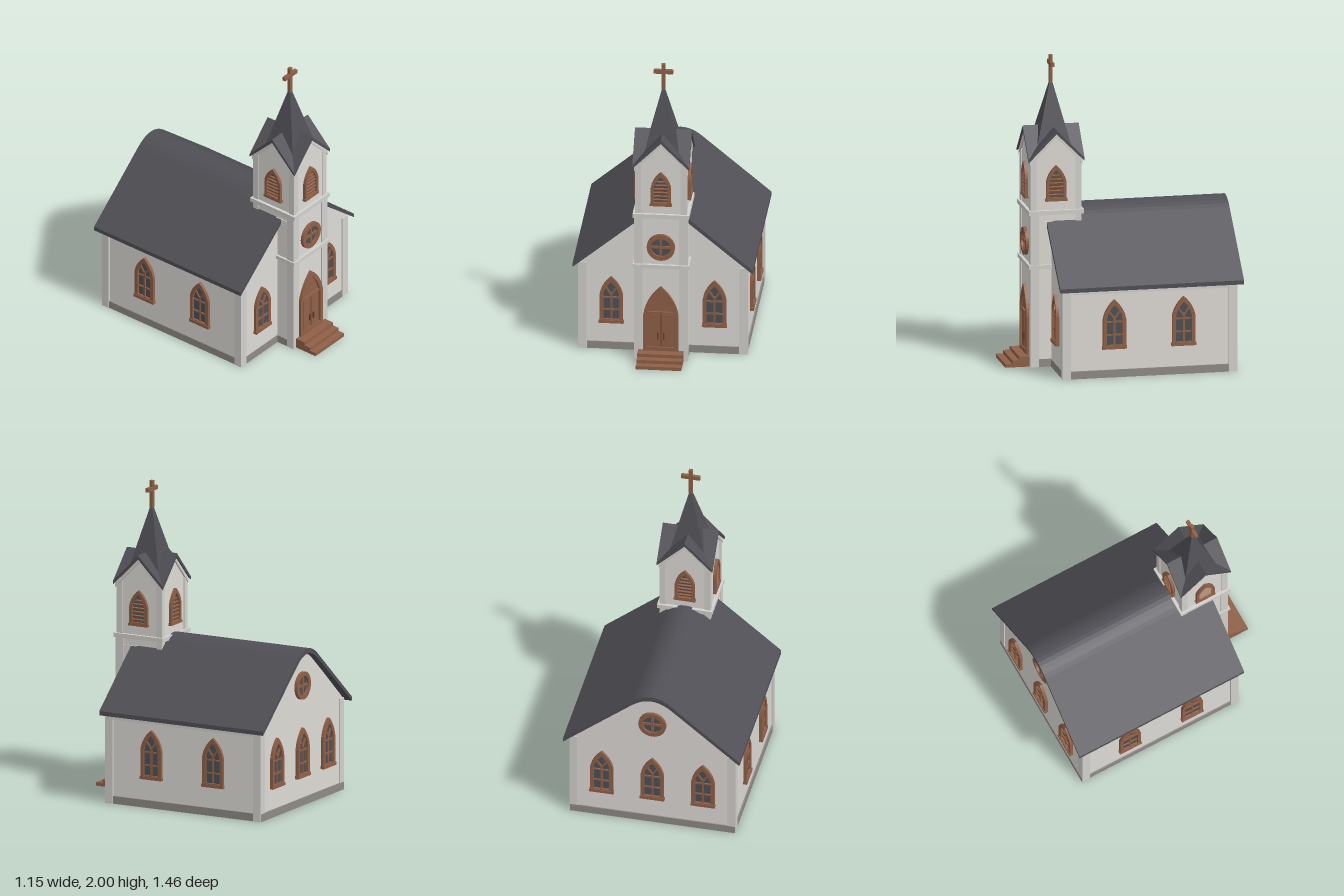
import * as THREE from 'three';

const mat = (name, color) => Object.assign(new THREE.MeshStandardMaterial({ color }), { name });

export function createModel() {
  const wall = mat('white siding', 0xdedbd6);
  const trim = mat('pale trim', 0xd3d1cd);
  const roof = mat('slate roof', 0x504f55);
  const wood = mat('brown wood', 0x8f6047);
  const darkWood = mat('dark wood', 0x5f3f2e);
  const glass = mat('dark glass', 0x4c5057);
  const stone = mat('grey foundation', 0x8f8a84);

  const church = new THREE.Group();
  church.name = 'church';

  // Helpers
  const add = (parent, name, geo, m, x = 0, y = 0, z = 0) => {
    const mesh = new THREE.Mesh(geo, m);
    mesh.name = name;
    mesh.position.set(x, y, z);
    parent.add(mesh);
    return mesh;
  };
  const box = (parent, name, m, w, h, d, x, y, z) =>
    add(parent, name, new THREE.BoxGeometry(w, h, d), m, x, y, z);
  const poly = (pts) => new THREE.Shape(pts.map(([x, y]) => new THREE.Vector2(x, y)));
  const extrude = (shape, depth, z = 0, curveSegments = 8) =>
    new THREE.ExtrudeGeometry(shape, { depth, bevelEnabled: false, curveSegments }).translate(0, 0, z);
  const place = (name, x, y, z, turn) => {
    const g = new THREE.Group();
    g.name = name;
    g.position.set(x, y, z);
    g.rotation.y = turn;
    church.add(g);
    return g;
  };

  // Pointed arch outline standing on y = y0
  const arch = (w, y0, spring, top, Type = THREE.Shape) => {
    const s = new Type();
    const r = w / 2;
    s.moveTo(-r, y0);
    s.lineTo(r, y0);
    s.lineTo(r, spring);
    s.quadraticCurveTo(r * 0.85, spring + (top - spring) * 0.58, 0, top);
    s.quadraticCurveTo(-r * 0.85, spring + (top - spring) * 0.58, -r, spring);
    s.closePath();
    return s;
  };
  const archFrame = (w, h, spring, t) => {
    const s = arch(w, 0, spring, h);
    s.holes.push(arch(w - 2 * t, t, spring, h - t * 1.5, THREE.Path));
    return extrude(s, 0.045, -0.025);
  };

  // Arched window with mullions and tracery
  function archWindow(x, y, z, turn) {
    const g = place('archedWindow', x, y, z, turn);
    add(g, 'windowFrame', archFrame(0.15, 0.32, 0.19, 0.024), wood);
    add(g, 'windowGlass', extrude(arch(0.12, 0.01, 0.19, 0.29), 0.028, -0.023), glass);
    box(g, 'mullion', wood, 0.012, 0.2, 0.012, 0, 0.11, 0.008);
    for (const by of [0.09, 0.175]) box(g, 'glazingBar', wood, 0.11, 0.01, 0.012, 0, by, 0.008);
    for (const s of [-1, 1]) {
      box(g, 'tracery', wood, 0.011, 0.075, 0.012, s * 0.021, 0.225, 0.008).rotation.z = -s * 0.6;
    }
    box(g, 'sill', wood, 0.158, 0.02, 0.05, 0, 0.008, 0);
  }

  // Round window with cross bars
  function roundWindow(x, y, z, turn) {
    const g = place('roundWindow', x, y, z, turn);
    const ring = new THREE.Shape().absarc(0, 0, 0.09, 0, Math.PI * 2);
    ring.holes.push(new THREE.Path().absarc(0, 0, 0.062, 0, Math.PI * 2, true));
    add(g, 'roundFrame', extrude(ring, 0.045, -0.025, 16), wood);
    add(g, 'roundGlass', new THREE.CylinderGeometry(0.07, 0.07, 0.028, 24).rotateX(Math.PI / 2), glass, 0, 0, -0.009);
    box(g, 'roundBar', wood, 0.016, 0.13, 0.014, 0, 0, 0.008);
    box(g, 'roundBar', wood, 0.13, 0.016, 0.014, 0, 0, 0.008);
  }

  // Nave: gable walls, side walls and corner boards, open underneath
  const gableTop = [[0.53, 0], [0.53, 0.605], [0.12, 0.955], [0, 1.005], [-0.12, 0.955], [-0.53, 0.605], [-0.53, 0]];
  const notch = [[-0.16, 0], [-0.16, 0.9], [0.16, 0.9], [0.16, 0]];
  add(church, 'backWall', extrude(poly(gableTop), 0.02, -0.685), wall);
  add(church, 'frontWall', extrude(poly([...gableTop, ...notch]), 0.02, 0.415), wall);
  for (const s of [-1, 1]) {
    box(church, 'sideWall', wall, 0.02, 0.6, 1.1, s * 0.52, 0.3, -0.125);
    for (const z of [0.415, -0.665]) box(church, 'cornerBoard', trim, 0.055, 0.6, 0.055, s * 0.5145, 0.3, z);
    box(church, 'eaveBoard', trim, 0.02, 0.03, 1.08, s * 0.53, 0.565, -0.125);
  }

  // Nave roof: bent slab with a rounded ridge
  const slab = new THREE.Shape();
  slab.moveTo(0.575, 0.575);
  slab.lineTo(0.575, 0.602);
  slab.lineTo(0.13, 0.975);
  slab.quadraticCurveTo(0, 1.084, -0.13, 0.975);
  slab.lineTo(-0.575, 0.602);
  slab.lineTo(-0.575, 0.575);
  slab.lineTo(-0.13, 0.943);
  slab.quadraticCurveTo(0, 1.05, 0.13, 0.943);
  slab.closePath();
  add(church, 'naveRoof', extrude(slab, 1.195, -0.73, 10), roof);

  // Foundation strips around the outline: width, depth, x, z
  const strips = [[1.075, 0.026, 0, -0.68]];
  for (const s of [-1, 1]) {
    strips.push([0.026, 1.11, s * 0.525, -0.125], [0.36, 0.026, s * 0.345, 0.427], [0.026, 0.13, s * 0.157, 0.5]);
  }
  strips.push([0.33, 0.026, 0, 0.557]);
  for (const [w, d, x, z] of strips) box(church, 'foundation', stone, w, 0.05, d, x, 0.025, z);

  // Nave windows
  for (const s of [-1, 1]) {
    archWindow(s * 0.33, 0.19, 0.435, 0);
    for (const z of [0.105, -0.345]) archWindow(s * 0.53, 0.19, z, s * Math.PI / 2);
  }
  for (const x of [-0.33, 0, 0.33]) archWindow(x, 0.19, -0.685, Math.PI);
  roundWindow(0, 0.785, -0.685, Math.PI);

  // Tower lower stage
  const TZ = 0.405;
  box(church, 'towerFront', wall, 0.32, 0.95, 0.02, 0, 0.475, 0.555);
  for (const s of [-1, 1]) {
    box(church, 'towerSide', wall, 0.02, 0.95, 0.14, s * 0.155, 0.475, 0.495);
    box(church, 'towerPost', trim, 0.055, 1.0, 0.055, s * 0.1445, 0.5, 0.5445);
    box(church, 'lowerBand', trim, 0.03, 0.025, 0.14, s * 0.165, 0.655, 0.505);
  }
  box(church, 'lowerBand', trim, 0.36, 0.025, 0.03, 0, 0.655, 0.568);
  roundWindow(0, 0.79, 0.565, 0);

  // Belfry: four gabled sides, each with a band, louvres and a roof gable
  const belfry = place('belfry', 0, 0, TZ, 0);
  const belfryWall = poly([[-0.16, 0.86], [0.16, 0.86], [0.16, 1.365], [0, 1.53], [-0.16, 1.365]]);
  const rake = poly([[0.172, 1.318], [0.172, 1.35], [0, 1.527], [-0.172, 1.35], [-0.172, 1.318], [0, 1.495]]);
  const gable = poly([[0.182, 1.338], [0.182, 1.358], [0, 1.545], [-0.182, 1.358], [-0.182, 1.338], [0, 1.52]]);
  for (let i = 0; i < 4; i++) {
    const g = new THREE.Group();
    g.name = 'belfrySide';
    g.rotation.y = i * Math.PI / 2;
    belfry.add(g);
    add(g, 'belfryWall', extrude(belfryWall, 0.02, 0.14), wall);
    box(g, 'belfryPost', trim, 0.04, 0.48, 0.04, 0.146, 1.12, 0.146);
    box(g, 'upperBand', trim, 0.36, 0.028, 0.03, 0, 1.008, 0.165);
    add(g, 'gableTrim', extrude(rake, 0.012, 0.16), trim);

    // Roof gable cut back along the diagonal valleys
    const geo = extrude(gable, 0.182);
    const p = geo.attributes.position;
    for (let k = 0; k < p.count; k++) if (p.getZ(k) < 0.001) p.setZ(k, Math.abs(p.getX(k)));
    geo.computeVertexNormals();
    add(g, 'roofGable', geo, roof);

    // Louvred opening
    const w = new THREE.Group();
    w.name = 'louvredWindow';
    w.position.set(0, 1.085, 0.16);
    g.add(w);
    add(w, 'louvreFrame', archFrame(0.13, 0.23, 0.12, 0.02), wood);
    add(w, 'louvreBack', extrude(arch(0.1, 0.01, 0.12, 0.205), 0.026, -0.023), glass);
    for (let k = 0; k < 6; k++) {
      box(w, 'louvre', wood, k < 4 ? 0.1 : 0.1 - (k - 3) * 0.026, 0.013, 0.012, 0, 0.035 + k * 0.025, 0.008).rotation.x = 0.4;
    }
    box(w, 'louvreSill', wood, 0.14, 0.016, 0.045, 0, 0.005, 0);
  }

  // Spire and cross
  const spire = new THREE.ConeGeometry(0.12 * Math.SQRT2, 0.47, 4, 1, true).rotateY(Math.PI / 4).toNonIndexed();
  spire.computeVertexNormals();
  add(church, 'spire', spire, roof, 0, 1.625, TZ);
  box(church, 'crossPost', wood, 0.025, 0.18, 0.022, 0, 1.91, TZ);
  box(church, 'crossArm', wood, 0.124, 0.026, 0.022, 0, 1.945, TZ);

  // Door with pointed surround
  const door = place('door', 0, 0.065, 0.565, 0);
  add(door, 'doorFrame', archFrame(0.225, 0.45, 0.25, 0.028), wood);
  add(door, 'doorPanel', extrude(arch(0.19, 0.005, 0.25, 0.42), 0.026, -0.022), wood);
  box(door, 'doorLintel', wood, 0.175, 0.016, 0.016, 0, 0.265, 0.008);
  box(door, 'doorGap', darkWood, 0.005, 0.25, 0.006, 0, 0.132, 0.004);
  for (const s of [-1, 1]) {
    box(door, 'doorLeaf', wood, 0.07, 0.245, 0.012, s * 0.039, 0.132, 0.006);
    box(door, 'doorHandle', darkWood, 0.008, 0.045, 0.012, s * 0.018, 0.105, 0.016);
  }

  // Front steps
  [0.73, 0.685, 0.64].forEach((front, i) => {
    box(church, 'step', wood, 0.29, 0.0225, front - 0.56, 0, 0.0113 + i * 0.0225, (front + 0.56) / 2);
  });

  return church;
}
